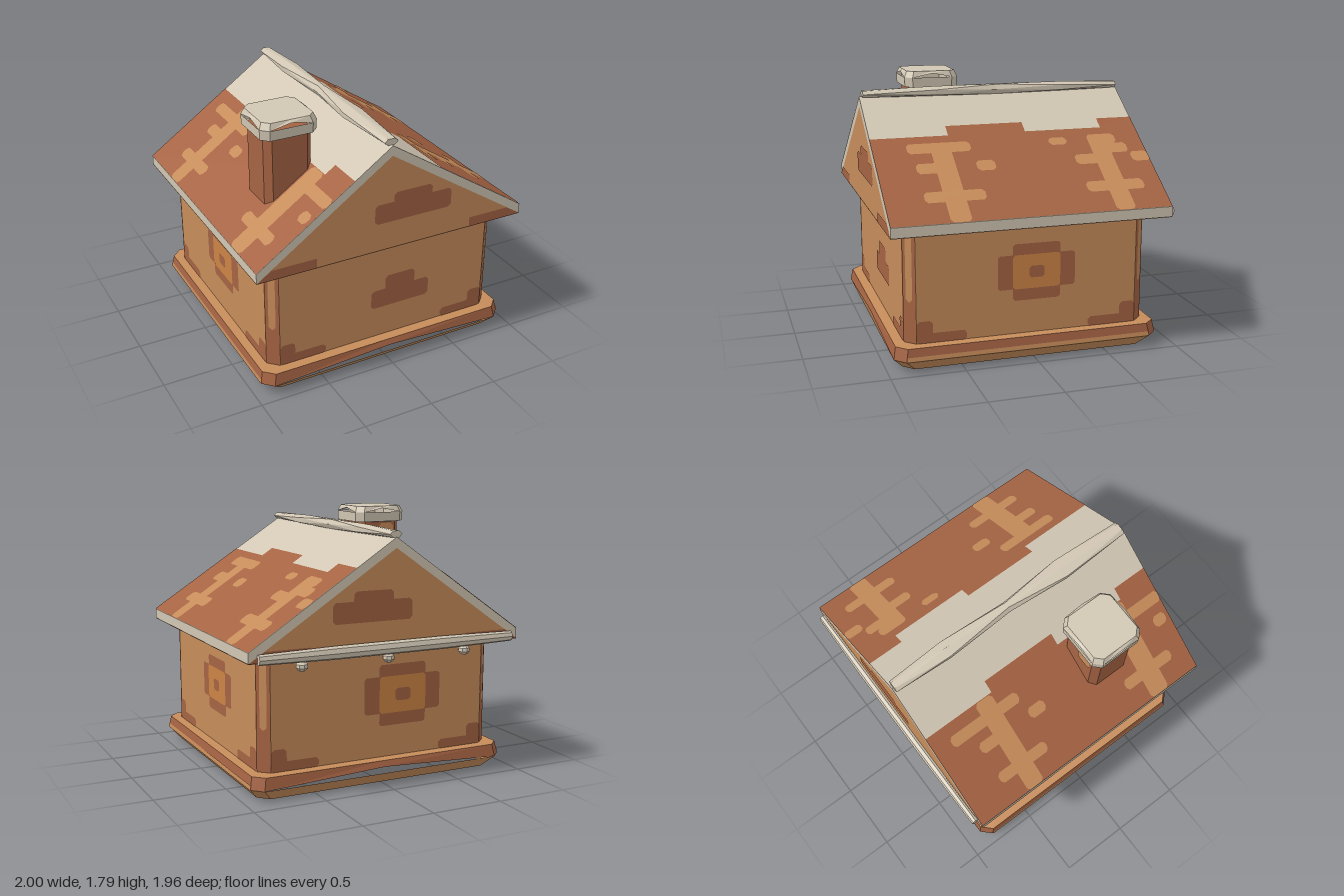
import * as THREE from 'three';
import { mergeGeometries } from 'three/addons/utils/BufferGeometryUtils.js';

const mat = (name, color) => {
  const m = new THREE.MeshStandardMaterial({ color, side: THREE.DoubleSide, flatShading: true });
  m.name = name;
  return m;
};

// Flat-shaded geometry from a list of corner points, three per triangle
const fromPoints = (pts) => {
  const g = new THREE.BufferGeometry();
  g.setAttribute('position', new THREE.Float32BufferAttribute(pts.flat(), 3));
  g.computeVertexNormals();
  return g;
};

// Skin over matching closed loops, with optional end caps
const loft = (loops, capStart = false, capEnd = false) => {
  const t = [];
  const n = loops[0].length;
  for (let k = 0; k < loops.length - 1; k++) {
    for (let i = 0; i < n; i++) {
      const a = loops[k], b = loops[k + 1], j = (i + 1) % n;
      t.push(a[i], b[i], a[j], b[i], b[j], a[j]);
    }
  }
  const cap = (l, flip) => {
    const c = [0, 1, 2].map((d) => l.reduce((s, p) => s + p[d], 0) / n);
    l.forEach((p, i) => t.push(c, ...(flip ? [p, l[(i + 1) % n]] : [l[(i + 1) % n], p])));
  };
  if (capStart) cap(loops[0], true);
  if (capEnd) cap(loops[loops.length - 1], false);
  return fromPoints(t);
};

// Level rectangle loop with cut corners; the side midpoints can be raised into an arch
const ring = (cx, cz, hx, hz, c, y, archX = 0, archZ = 0) => [
  [hx, 0, archX], [hx, hz - c, 0], [hx - c, hz, 0], [0, hz, archZ], [c - hx, hz, 0], [-hx, hz - c, 0],
  [-hx, 0, archX], [-hx, c - hz, 0], [c - hx, -hz, 0], [0, -hz, archZ], [hx - c, -hz, 0], [hx, c - hz, 0],
].map(([x, z, up]) => [cx + x, y + up, cz + z]);

// Rounded patch from u0..u1, v0..v1
const patch = ([u0, u1, v0, v1], r = 0.02) => {
  const s = new THREE.Shape();
  s.moveTo(u0 + r, v0);
  s.lineTo(u1 - r, v0); s.lineTo(u1, v0 + r);
  s.lineTo(u1, v1 - r); s.lineTo(u1 - r, v1);
  s.lineTo(u0 + r, v1); s.lineTo(u0, v1 - r);
  s.lineTo(u0, v0 + r); s.closePath();
  return s;
};
const poly = (pts) => new THREE.Shape(pts.map((p) => new THREE.Vector2(...p)));

// Lay flat shapes on a surface through a (u, v) -> [x, y, z] rule
const lay = (shapes, map) => {
  const g = mergeGeometries(shapes.map((s) => new THREE.ShapeGeometry(s))).toNonIndexed();
  const p = g.attributes.position;
  for (let i = 0; i < p.count; i++) p.setXYZ(i, ...map(p.getX(i), p.getY(i)));
  g.computeVertexNormals();
  return g;
};

export function createModel() {
  const root = new THREE.Group();
  root.name = 'cottage';
  const tan = mat('tan plaster', 0xc68c5a);
  const brick = mat('red brick', 0xa56343);
  const stone = mat('pale stone', 0xd2c7b4);
  const amber = mat('amber window', 0xcc8445);
  const add = (name, geo, m) => {
    const mesh = new THREE.Mesh(geo, m);
    mesh.name = name;
    root.add(mesh);
    return mesh;
  };
  const CZ = 0.035;

  // Hollow plinth, open under the arched front and back
  const base = (hx, hz, y, arch = 0) => ring(0, CZ, hx, hz, 0.07, y, 0, arch);
  add('plinthFoot', loft([base(0.88, 0.85, 0), base(0.95, 0.92, 0.08)]), tan);
  add('plinthBand', loft([base(0.95, 0.92, 0.08, 0.045), base(0.935, 0.905, 0.165)]), brick);
  add('plinthLedge', loft([base(0.935, 0.905, 0.165), base(0.86, 0.825, 0.17)]), tan);
  add('floor', loft([base(0.92, 0.89, 0.13), base(0.92, 0.89, 0.132)], true), tan);
  for (const s of [1, -1]) {
    add('plinthStripe', lay([poly([[-0.81, 0.08], [0.88, 0.08], [0.88, 0.11], [-0.81, 0.11]])],
      (u, v) => [s * (0.953 - (v - 0.08) * 0.15), v, u]), tan);
  }

  // Walls with brick corners
  const wall = (y) => ring(0, CZ, 0.87, 0.835, 0.07, y);
  add('walls', loft([wall(0.165), wall(0.93)]), tan);
  for (const sx of [1, -1]) {
    for (const sz of [1, -1]) {
      const corner = (lift) => (u, v) =>
        [sx * (0.835 + u * 0.707 + lift), v, CZ + sz * (0.8 - u * 0.707 + lift)];
      add('cornerPost', lay([poly([[-0.049, 0.165], [0.049, 0.165], [0.049, 0.93], [-0.049, 0.93]])], corner(0.002)), brick);
      add('cornerStreak', lay([patch([-0.025, 0.025, 0.45, 0.93])], corner(0.004)), tan);
    }
  }

  // Painted wall details, one rule per side
  const sides = {
    front: (d) => (u, v) => [u, v, 0.87 + d],
    back: (d) => (u, v) => [u, v, -0.8 - d],
    left: (d) => (u, v) => [0.87 + d, v, u],
    right: (d) => (u, v) => [-0.87 - d, v, u],
  };
  const motifs = { back: [-0.17, 1.08], left: [-0.02, 1], right: [0.1, 1] };
  for (const [side, at] of Object.entries(sides)) {
    const [lo, hi] = side === 'front' || side === 'back' ? [-0.8, 0.8] : [-0.73, 0.8];
    add(side + 'WallBricks', lay([
      [lo, lo + 0.34, 0.165, 0.235], [lo, lo + 0.11, 0.165, 0.32],
      [hi - 0.34, hi, 0.165, 0.235], [hi - 0.11, hi, 0.165, 0.32],
    ].map((r) => patch(r)), at(0.003)), brick);
    if (!motifs[side]) continue;
    const [c, k] = motifs[side];
    const box = (w, y0, y1) => patch([c - w * k, c + w * k, 0.595 + y0 * k, 0.595 + y1 * k], 0.015);
    add(side + 'WindowFrame', lay([box(0.27, -0.115, 0.12), box(0.165, -0.195, 0.195)], at(0.003)), brick);
    add(side + 'WindowPane', lay([box(0.165, -0.115, 0.12)], at(0.006)), amber);
    add(side + 'WindowKnob', lay([box(0.053, -0.04, 0.04)], at(0.009)), brick);
  }
  add('frontWallPatch', lay([patch([-0.11, 0.345, 0.4, 0.54]), patch([0, 0.23, 0.5, 0.64])], sides.front(0.003)), brick);

  // Roof: plaster gable under a stone slab
  const AX = -0.04, BACK = -0.93, LEN = 1.91;
  const extrude = (pts) => new THREE.ExtrudeGeometry(poly(pts), { depth: LEN, bevelEnabled: false }).translate(0, 0, BACK);
  add('gable', extrude([[-1, 0.93], [1, 0.93], [AX, 1.6]]), tan);
  add('roofSlab', extrude([[-1, 0.93], [AX, 1.6], [1, 0.93], [1, 1], [AX, 1.67], [-1, 1]]), stone);
  add('eaveUnderside', lay([poly([[-1, BACK], [1, BACK], [1, 0.98], [-1, 0.98]])], (u, v) => [u, 0.927, v]), brick);
  for (const z of [0.983, -0.933]) {
    add('gableBricks', lay([
      patch([-0.16, 0.42, 1.13, 1.27]), patch([-0.02, 0.27, 1.22, 1.335]),
      poly([[-1, 0.93], [-0.58, 0.93], [-0.58, 1], [-0.9, 1]]),
      poly([[1, 0.93], [0.58, 0.93], [0.58, 1], [0.89, 1]]),
    ], (u, v) => [u, v, z]), brick);
  }

  // Brick roofing with a stepped upper edge, and tan streaks on it
  const slope = (lift) => (x, z) =>
    [x, 1 + lift + 0.67 * (x < AX ? (x + 1) / (1 + AX) : (1 - x) / (1 - AX)), z];
  const roofing = (edge, steps) => {
    const pts = [[edge, BACK]];
    steps.forEach(([x, z0, z1]) => pts.push([x, z0], [x, z1]));
    return poly([...pts, [edge, 0.98]]);
  };
  add('leftRoofing', lay([roofing(1, [[0.25, BACK, -0.67], [0.33, -0.67, -0.11], [0.25, -0.11, 0.44], [0.33, 0.44, 0.98]])], slope(0.003)), brick);
  add('rightRoofing', lay([roofing(-1, [[-0.385, BACK, -0.39], [-0.31, -0.39, 0.17], [-0.385, 0.17, 0.72], [-0.31, 0.72, 0.98]])], slope(0.003)), brick);
  add('leftRoofStreaks', lay([
    [0.39, 1, 0.45, 0.59], [0.39, 0.47, 0.31, 0.75], [0.55, 0.63, 0.5, 0.72], [0.55, 0.63, 0.18, 0.31], [0.77, 0.85, 0.31, 0.72],
    [0.39, 1, -0.67, -0.535], [0.39, 0.47, -0.74, -0.535], [0.4, 0.46, -0.38, -0.25], [0.47, 0.55, -0.8, -0.6],
    [0.55, 0.63, -0.6, -0.39], [0.55, 0.63, -0.93, -0.8], [0.77, 0.85, -0.8, -0.39],
  ].map((r) => patch(r)), slope(0.006)), tan);
  add('rightRoofStreaks', lay([
    [-1, -0.39, -0.535, -0.4], [-0.87, -0.8, -0.66, -0.26], [-0.66, -0.59, -0.66, -0.4], [-0.66, -0.59, -0.25, -0.12], [-0.53, -0.46, -0.8, -0.25],
    [-1, -0.39, 0.57, 0.72], [-0.87, -0.8, 0.44, 0.85], [-0.53, -0.46, 0.57, 0.98], [-0.66, -0.59, 0.85, 0.95],
  ].map((r) => patch(r)), slope(0.006)), tan);

  // Twisted ridge beam, thick and thin along its length
  const stations = [[0.96, 0.05, 0.025], [0.45, 0.082, 0.035], [0, 0.04, 0.04], [-0.5, 0.07, 0.035], [-0.92, 0.045, 0.025]];
  add('ridgeBeam', loft(stations.map(([z, w, h], k) => Array.from({ length: 6 }, (_, i) => {
    const a = (i + k * 0.5) * Math.PI / 3;
    return [AX + w * Math.cos(a), 1.688 + h * Math.sin(a), z];
  })), true, true), stone);

  // Chimney with an arched, hollow cap
  const flue = (h, c, y, arch = 0) => ring(-0.55, 0.385, h, h - 0.005, c, y, arch, arch);
  add('chimney', loft([flue(0.17, 0.045, 1.1), flue(0.17, 0.045, 1.69)], false, true), brick);
  add('chimneyPatch', lay([patch([-0.66, -0.54, 1.48, 1.66])], (u, v) => [u, v, 0.217]), tan);
  add('chimneyCapBand', loft([flue(0.17, 0.045, 1.67), flue(0.2, 0.05, 1.675), flue(0.203, 0.05, 1.745)]), stone);
  add('chimneyCapTop', loft([flue(0.203, 0.05, 1.745, 0.03), flue(0.183, 0.045, 1.79)], false, true), stone);

  // Beam along the back eave, with three hanging knobs
  const beam = [[0.94, 0.035], [0.4, 0.045], [-0.4, 0.045], [-0.94, 0.035]];
  add('backEaveBeam', loft(beam.map(([x, r]) => Array.from({ length: 8 }, (_, i) => {
    const a = i * Math.PI / 4;
    return [x, 0.953 + r * Math.cos(a), -0.946 + 0.8 * r * Math.sin(a)];
  })), true, true), stone);
  const knob = [[0, 0.842], [0.025, 0.842], [0.042, 0.862], [0.04, 0.885], [0.025, 0.9], [0.025, 0.935]];
  for (const x of [0.61, -0.02, -0.61]) {
    add('hangingKnob', new THREE.LatheGeometry(knob.map((p) => new THREE.Vector2(...p)), 8).translate(x, 0, -0.87), stone);
  }
  return root;
}
